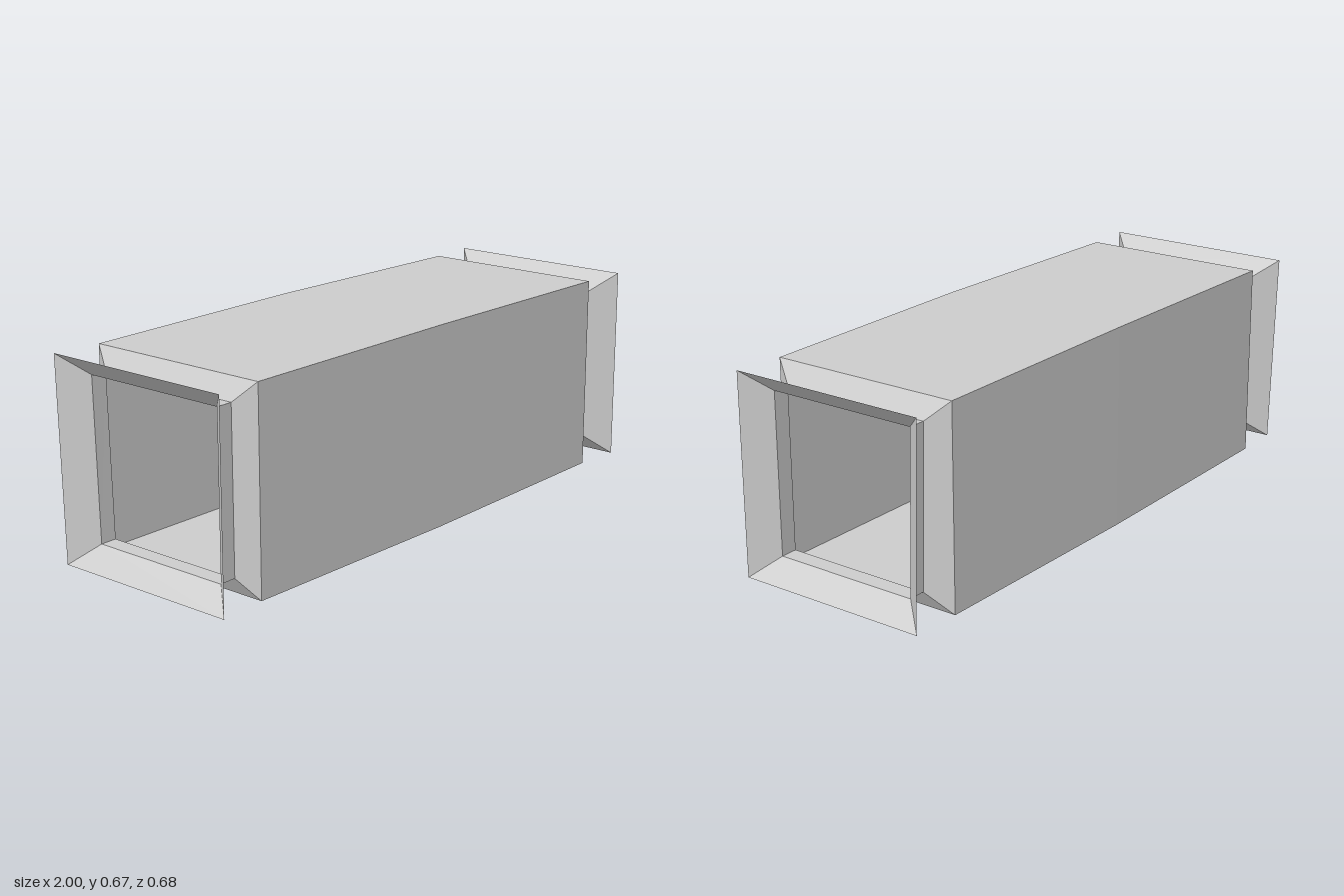
import * as THREE from 'three';

// Rectangular section at x: bottom, top, front, and back z at bottom and top
const ring = (x, bottom, top, front, backBottom, backTop = backBottom) => [
  [x, bottom, front], [x, bottom, backBottom], [x, top, backTop], [x, top, front],
];

// Open four-sided skin through rings sorted by x, facing outward
function loft(rings) {
  const sorted = [...rings].sort((a, b) => a[0][0] - b[0][0]);
  const points = [];
  for (let i = 0; i < sorted.length - 1; i++) {
    const p = sorted[i], q = sorted[i + 1];
    for (let j = 0; j < 4; j++) {
      const k = (j + 1) % 4;
      points.push(...p[j], ...p[k], ...q[k], ...p[j], ...q[k], ...q[j]);
    }
  }
  const geometry = new THREE.BufferGeometry();
  geometry.setAttribute('position', new THREE.Float32BufferAttribute(points, 3));
  geometry.computeVertexNormals();
  return geometry;
}

export function createModel() {
  const model = new THREE.Group();
  model.name = 'squareDuct';
  const grey = new THREE.MeshStandardMaterial({
    name: 'lightGrey', color: 0xcccccc, side: THREE.DoubleSide, flatShading: true,
  });
  const add = (name, rings) => {
    const mesh = new THREE.Mesh(loft(rings), grey);
    mesh.name = name;
    model.add(mesh);
  };

  // Cross-sections, with the back of the neck and flare slightly skewed
  const bodyEnd = s => ring(s * 0.833, 0.005, 0.664, 0.327, -0.328);
  const neckInner = s => ring(s * 0.873, 0.07, 0.6, 0.26, -0.243, -0.257);
  const neckOuter = s => ring(s * 0.93, 0.07, 0.6, 0.26, -0.243, -0.256);
  const rim = s => ring(s, 0.004, 0.666, 0.339, -0.322, -0.339);

  // Main tube with a faint bulge at mid-length
  add('body', [bodyEnd(-1), ring(0, 0, 0.67, 0.332, -0.332), bodyEnd(1)]);

  // Matching shoulder, neck and flared collar at each end
  for (const [side, s] of [['left', 1], ['right', -1]]) {
    add(side + 'Shoulder', [bodyEnd(s), neckInner(s)]);
    add(side + 'Neck', [neckInner(s), neckOuter(s)]);
    add(side + 'Flare', [neckOuter(s), rim(s)]);
  }
  return model;
}
